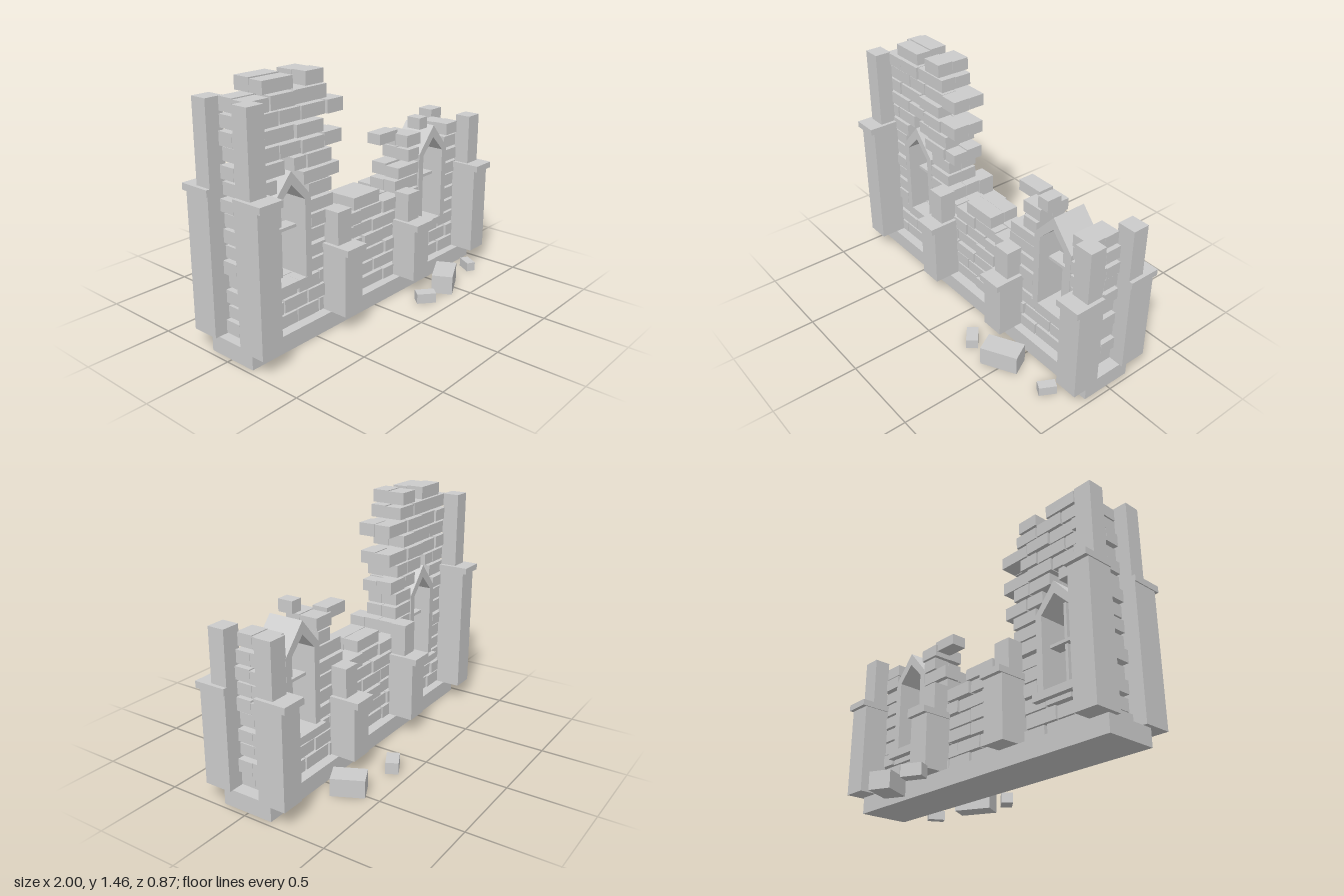
import * as THREE from 'three';

const material = new THREE.MeshStandardMaterial({ color: 0xcccccc, flatShading: true });

// Repeatable jitter for the masonry
let seed = 11;
const rand = () => (seed = (seed * 16807) % 2147483647) / 2147483647;
const jitter = (a) => (rand() * 2 - 1) * a;

// Box given by its limits on each axis
function block(parent, name, x0, x1, y0, y1, z0, z1) {
  const mesh = new THREE.Mesh(new THREE.BoxGeometry(x1 - x0, y1 - y0, z1 - z0), material);
  mesh.position.set((x0 + x1) / 2, (y0 + y1) / 2, (z0 + z1) / 2);
  mesh.name = name;
  parent.add(mesh);
  return mesh;
}

// Stretches of wall in each course, bottom to top, leaving out windows and gaps
const COURSES = [
  [[-0.92, 0.9]],
  [[-0.9, 0.92]],
  [[-0.91, 0.9]],
  [[-0.89, -0.755], [-0.48, 0.475], [0.745, 0.91]],
  [[-0.92, -0.755], [-0.48, 0.475], [0.745, 0.89]],
  [[-0.9, -0.755], [-0.48, 0.475], [0.745, 0.91]],
  [[-0.91, -0.755], [-0.48, -0.26], [-0.13, 0.1], [0.25, 0.475], [0.745, 0.9]],
  [[-0.9, -0.755], [-0.48, -0.3], [0.27, 0.475], [0.745, 0.91]],
  [[-0.92, -0.75], [-0.48, -0.3], [0.37, 0.48], [0.745, 0.9]],
  [[-0.9, -0.71], [-0.53, -0.24], [0.36, 0.5], [0.75, 0.88]],
  [[-0.91, -0.645], [-0.59, -0.31]],
  [[-0.89, -0.225]],
  [[-0.91, -0.37]],
  [[-0.9, -0.215]],
  [[-0.9, -0.335]],
  [[-0.79, -0.575], [-0.5, -0.36]],
];
const PITCH = 0.0853;

// One stretch of a course, cut into bricks of uneven length
function layBricks(wall, x0, x1, y, side, shift) {
  const n = Math.max(1, Math.round((x1 - x0) / 0.175));
  const step = (x1 - x0) / n;
  let start = x0;
  for (let i = 1; i <= n; i++) {
    const end = i === n ? x1 : x0 + step * (i + shift) + jitter(0.02);
    const depth = 0.1 + jitter(0.008);
    const y0 = y + jitter(0.003);
    const z = side > 0 ? [0.008, depth + 0.004] : [-depth + 0.004, 0.006];
    block(wall, 'brick', start + 0.004, end - 0.004, y0, y0 + 0.071 + jitter(0.004), ...z);
    start = end;
  }
}

function makeWall() {
  const wall = new THREE.Group();
  wall.name = 'brickWall';
  COURSES.forEach((stretches, row) => {
    for (const side of [1, -1]) {
      const shift = (row % 2 ? 0.22 : -0.22) * side;
      for (const [x0, x1] of stretches) layBricks(wall, x0, x1, 0.102 + row * PITCH, side, shift);
    }
  });
  // Loose bricks on the broken edge beside the right-hand window
  block(wall, 'looseBrick', 0.22, 0.385, 0.9, 0.965, -0.09, 0.005);
  block(wall, 'looseBrick', 0.48, 0.555, 0.96, 1.03, 0.008, 0.1);
  return wall;
}

// Pointed outline of a window
function pointed(PathType, half, bottom, spring, apex) {
  const path = new PathType();
  path.moveTo(-half, bottom);
  path.lineTo(half, bottom);
  path.lineTo(half, spring);
  path.lineTo(0, apex);
  path.lineTo(-half, spring);
  path.closePath();
  return path;
}

function makeWindow(x) {
  const group = new THREE.Group();
  group.name = 'window';
  group.position.x = x;
  const shape = pointed(THREE.Shape, 0.14, 0.31, 0.805, 0.965);
  shape.holes.push(pointed(THREE.Path, 0.098, 0.345, 0.79, 0.89));
  const geometry = new THREE.ExtrudeGeometry(shape, { depth: 0.21, bevelEnabled: false });
  geometry.translate(0, 0, -0.1);
  const frame = new THREE.Mesh(geometry, material);
  frame.name = 'windowFrame';
  group.add(frame);
  block(group, 'sill', -0.152, 0.152, 0.3, 0.345, -0.13, 0.11);
  block(group, 'mullion', -0.009, 0.009, 0.345, 0.86, -0.02, 0.02);
  block(group, 'crossbar', -0.1, 0.1, 0.617, 0.635, -0.04, 0.04);
  return group;
}

// Stepped buttress: wide shaft, cap slab and narrow upper shaft
function makeButtress(x, capY, topY, side) {
  const group = new THREE.Group();
  group.name = side > 0 ? 'frontButtress' : 'backButtress';
  const span = (depth) => (side > 0 ? [0.1, 0.1 + depth] : [-0.092 - depth, -0.092]);
  block(group, 'lowerShaft', x - 0.07, x + 0.07, 0.1, capY, ...span(0.165));
  block(group, 'cap', x - 0.076, x + 0.076, capY, capY + 0.038, ...span(0.19));
  block(group, 'upperShaft', x - 0.054, x + 0.054, capY + 0.038, topY, ...span(0.1));
  return group;
}

export function createModel() {
  const model = new THREE.Group();
  model.name = 'ruinedWall';
  block(model, 'plinth', -0.97, 0.97, 0, 0.1, -0.15, 0.16);
  model.add(makeWall(), makeWindow(-0.617), makeWindow(0.612));

  // Buttresses: x, cap height, top height
  const buttresses = [[-0.924, 0.877, 1.37], [-0.31, 0.462, 0.69], [0.305, 0.42, 0.63], [0.92, 0.642, 0.985]];
  for (const [x, capY, topY] of buttresses) {
    for (const side of [1, -1]) model.add(makeButtress(x, capY, topY, side));
  }

  // Fallen stones: x, z, width, height, depth, turn
  const stones = [
    [0.235, 0.355, 0.115, 0.06, 0.068, -0.7],
    [0.472, 0.323, 0.22, 0.115, 0.125, 0.49],
    [0.797, 0.28, 0.055, 0.055, 0.1, -0.5],
    [0.172, -0.379, 0.122, 0.07, 0.075, 0.48],
    [0.505, -0.309, 0.13, 0.105, 0.19, 0.46],
  ];
  for (const [x, z, w, h, d, turn] of stones) {
    block(model, 'fallenStone', x - w / 2, x + w / 2, 0, h, z - d / 2, z + d / 2).rotation.y = turn;
  }
  return model;
}
